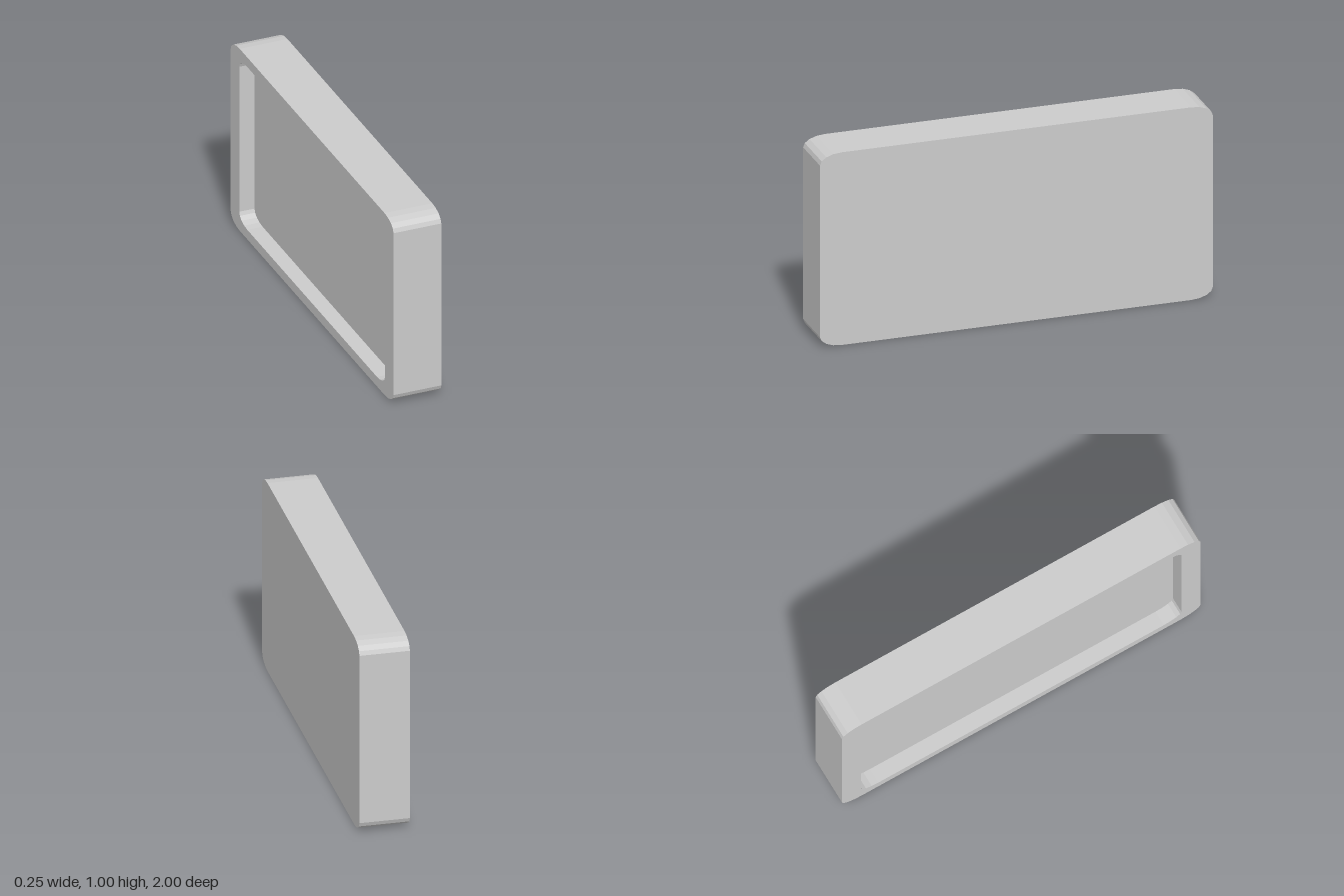
import * as THREE from 'three';

const HALF_X = 0.125, RIM = 0.895, RECESS = 0.08, CORNER = 0.11, STEPS = 4;

// Rounded outline in the z/y plane, squashed to half height
function outline() {
  const points = [];
  const c = 1 - CORNER;
  [[1, 1], [-1, 1], [-1, -1], [1, -1]].forEach(([sz, sy], k) => {
    for (let i = 0; i <= STEPS; i++) {
      const a = (k + i / STEPS) * Math.PI / 2;
      points.push([sz * c + CORNER * Math.cos(a), (sy * c + CORNER * Math.sin(a)) / 2]);
    }
  });
  return points;
}

// Skin scaled copies of the outline, each given as [x, scale]; scale 0 closes a cap
function skin(sections) {
  const points = outline();
  const n = points.length;
  const at = ([x, s], j) => [x, 0.5 + points[j % n][1] * s, points[j % n][0] * s];
  const positions = [];
  for (let i = 0; i < sections.length - 1; i++) {
    const from = sections[i], to = sections[i + 1];
    for (let j = 0; j < n; j++) {
      const a = at(from, j), b = at(to, j), c = at(to, j + 1), d = at(from, j + 1);
      if (to[1] > 0) positions.push(...a, ...c, ...b);
      if (from[1] > 0) positions.push(...a, ...d, ...c);
    }
  }
  const geometry = new THREE.BufferGeometry();
  geometry.setAttribute('position', new THREE.Float32BufferAttribute(positions, 3));
  geometry.computeVertexNormals();
  return geometry;
}

export function createModel() {
  const group = new THREE.Group();
  group.name = 'recessedPanel';
  const material = new THREE.MeshStandardMaterial({ color: 0xcccccc, flatShading: true });
  const floorX = -HALF_X + RECESS;

  // Plain +x face, outer walls and the raised rim around the -x face
  const body = new THREE.Mesh(skin([
    [HALF_X, 0], [HALF_X, 1], [-HALF_X, 1], [-HALF_X, RIM],
  ]), material);
  body.name = 'body';

  // Shallow recess on the -x side: inner walls and floor
  const recess = new THREE.Mesh(skin([
    [-HALF_X, RIM], [floorX, RIM], [floorX, 0],
  ]), material);
  recess.name = 'recess';

  group.add(body, recess);
  return group;
}
